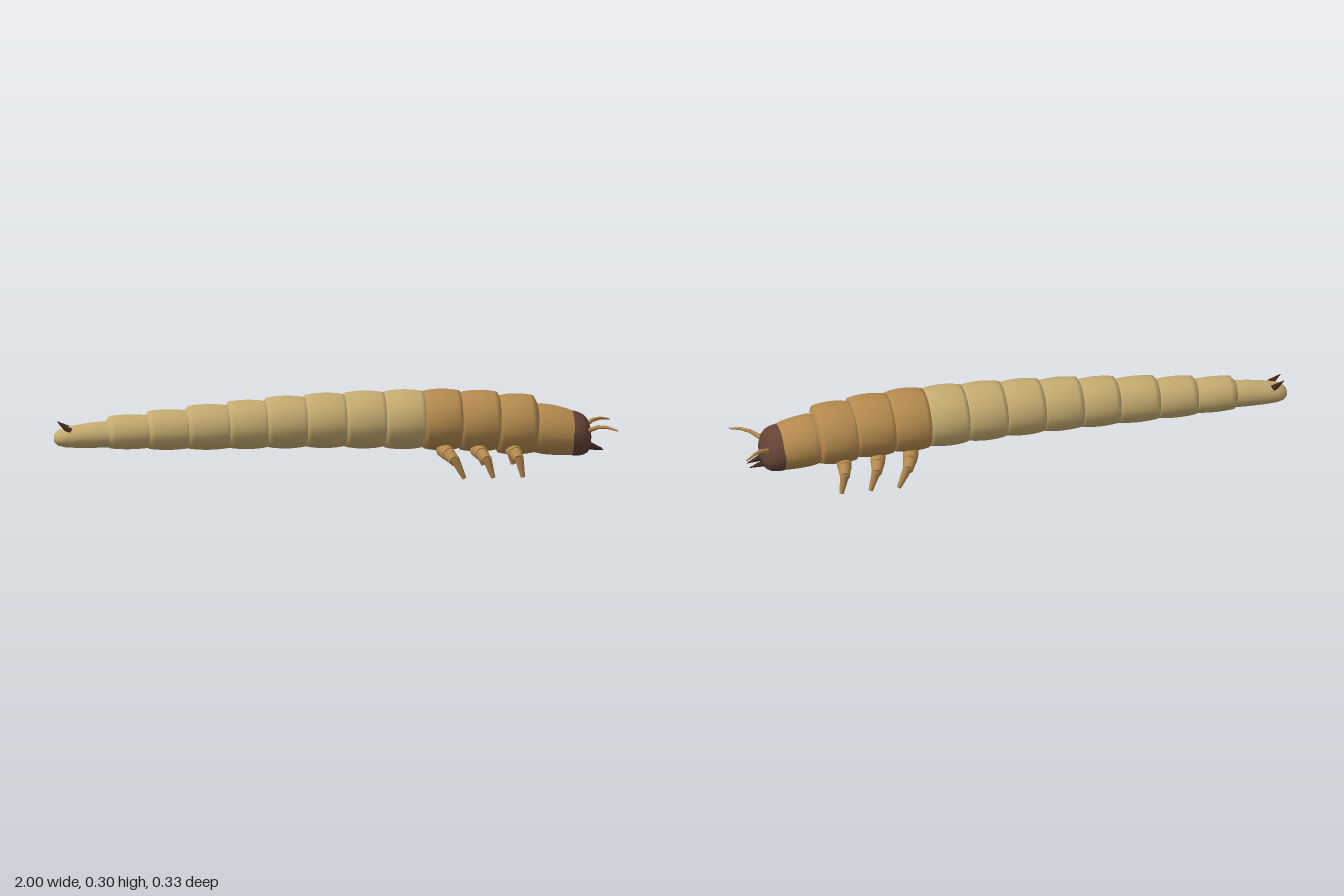
import * as THREE from 'three';

const mat = (name, color) => {
  const m = new THREE.MeshStandardMaterial({ color });
  m.name = name;
  return m;
};

// Skin through rings [x, top, bottom, halfWidth]; the belly is flatter than the back
function loft(rings, sides = 28) {
  const pos = [], idx = [];
  for (const [x, top, bottom, w] of rings) {
    const mid = bottom + (top - bottom) * 0.46;
    for (let j = 0; j < sides; j++) {
      const a = (j / sides) * Math.PI * 2, s = Math.sin(a);
      pos.push(x, mid + s * (s > 0 ? top - mid : mid - bottom), w * Math.cos(a));
    }
  }
  for (let i = 0; i < rings.length - 1; i++) {
    for (let j = 0; j < sides; j++) {
      const a = i * sides + j, b = i * sides + ((j + 1) % sides);
      idx.push(a, a + sides, b, b, a + sides, b + sides);
    }
  }
  const g = new THREE.BufferGeometry();
  g.setAttribute('position', new THREE.Float32BufferAttribute(pos, 3));
  g.setIndex(idx);
  g.computeVertexNormals();
  return g;
}

// Ring scaled about its own middle
const ring = (x, [top, bottom, w], k) => {
  const c = (top + bottom) / 2, h = (top - bottom) / 2;
  return [x, c + h * k, c - h * k, w * k];
};

// Bulging body segment, its ends tucked inside the neighbours
function segment(x0, x1, size) {
  const rings = [ring(x0 - 0.012, size, 0.7)];
  for (let i = 0; i <= 10; i++) {
    const t = i / 10;
    rings.push(ring(x0 + (x1 - x0) * t, size, 0.93 + 0.07 * Math.pow(Math.sin(Math.PI * t), 0.8)));
  }
  rings.push(ring(x1 + 0.012, size, 0.7));
  return loft(rings);
}

// Tapered rod from a to b
function rod(a, b, r0, r1, sides = 12) {
  const p = new THREE.Vector3(...a), q = new THREE.Vector3(...b), d = q.clone().sub(p);
  const g = new THREE.CylinderGeometry(r1, r0, d.length(), sides);
  g.applyQuaternion(new THREE.Quaternion().setFromUnitVectors(new THREE.Vector3(0, 1, 0), d.normalize()));
  const m = p.add(q).multiplyScalar(0.5);
  return g.translate(m.x, m.y, m.z);
}

export function createModel() {
  const root = new THREE.Group();
  root.name = 'larva';
  const cream = mat('pale tan', 0xc4ab70), tan = mat('warm brown', 0xb48a4e);
  const dark = mat('head brown', 0x644336), hook = mat('dark hook brown', 0x42291f);
  const add = (geo, material, name, parent = root) => {
    const m = new THREE.Mesh(geo, material);
    m.name = name;
    parent.add(m);
  };

  // Abdomen and thorax: seam positions, then [top, bottom, halfWidth] for each segment
  const seams = [-0.8, -0.66, -0.52, -0.375, -0.24, -0.1, 0.04, 0.18, 0.32, 0.45, 0.585, 0.715];
  const sizes = [
    [0.23, 0.107, 0.074], [0.246, 0.102, 0.083], [0.262, 0.1, 0.092], [0.275, 0.1, 0.1],
    [0.287, 0.1, 0.107], [0.295, 0.099, 0.115], [0.3, 0.095, 0.122], [0.302, 0.09, 0.127],
    [0.302, 0.084, 0.131], [0.295, 0.077, 0.131], [0.28, 0.064, 0.128],
  ];
  sizes.forEach((s, i) => add(segment(seams[i], seams[i + 1], s), i < 8 ? cream : tan,
    i < 8 ? 'abdomenSegment' : 'thoraxSegment'));

  // Rounded tail
  add(loft([
    [-1, 0.15, 0.15, 0], [-0.997, 0.165, 0.136, 0.022], [-0.985, 0.179, 0.124, 0.037],
    [-0.96, 0.189, 0.118, 0.046], [-0.92, 0.196, 0.115, 0.05], [-0.86, 0.205, 0.114, 0.054],
    [-0.8, 0.208, 0.115, 0.056], [-0.78, 0.2, 0.12, 0.05],
  ]), cream, 'tailSegment');

  // Collar behind the head
  add(loft([
    [0.7, 0.22, 0.09, 0.08], [0.715, 0.24, 0.07, 0.1], [0.745, 0.243, 0.063, 0.106],
    [0.79, 0.236, 0.059, 0.107], [0.83, 0.225, 0.058, 0.104], [0.853, 0.216, 0.057, 0.1],
  ]), tan, 'collarSegment');

  // Blunt head
  add(loft([
    [0.848, 0.217, 0.056, 0.101], [0.87, 0.212, 0.055, 0.098], [0.89, 0.203, 0.058, 0.091],
    [0.905, 0.188, 0.066, 0.077], [0.914, 0.168, 0.082, 0.055], [0.918, 0.145, 0.105, 0.028],
    [0.919, 0.125, 0.125, 0],
  ]), dark, 'head');

  // Hip, knee and foot x of the three leg pairs
  const legs = [[0.385, 0.415, 0.45], [0.505, 0.53, 0.553], [0.63, 0.645, 0.659]];
  for (const s of [1, -1]) {
    const side = s > 0 ? 'left' : 'right';
    for (const [hip, knee, foot] of legs) {
      const g = new THREE.Group();
      g.name = side + 'Leg';
      root.add(g);
      const mid = (hip + knee) / 2;
      add(rod([hip, 0.095, 0.065 * s], [mid, 0.083, 0.112 * s], 0.028, 0.025), tan, 'upperLeg', g);
      add(rod([mid, 0.083, 0.11 * s], [knee, 0.066, 0.148 * s], 0.024, 0.018), tan, 'middleLeg', g);
      add(rod([knee, 0.075, 0.147 * s], [foot, 0.003, 0.153 * s], 0.017, 0.008), tan, 'lowerLeg', g);
    }

    // Jointed antenna
    const a = [[0.895, 0.148, 0.05], [0.937, 0.168, 0.085], [0.965, 0.17, 0.108], [1, 0.162, 0.136]];
    const r = [0.01, 0.007, 0.0055, 0.003];
    for (let i = 0; i < 3; i++) {
      const [p, q] = [a[i], a[i + 1]].map(([x, y, z]) => [x, y, z * s]);
      add(rod(p, q, r[i], r[i + 1], 10), tan, side + 'Antenna');
    }

    // Jaw and tail hook
    add(rod([0.9, 0.094, 0.025 * s], [0.963, 0.075, 0.019 * s], 0.015, 0.001), hook, side + 'Jaw');
    add(rod([-0.945, 0.178, 0.025 * s], [-0.985, 0.206, 0.028 * s], 0.013, 0.001), hook, side + 'TailHook');
  }
  return root;
}
